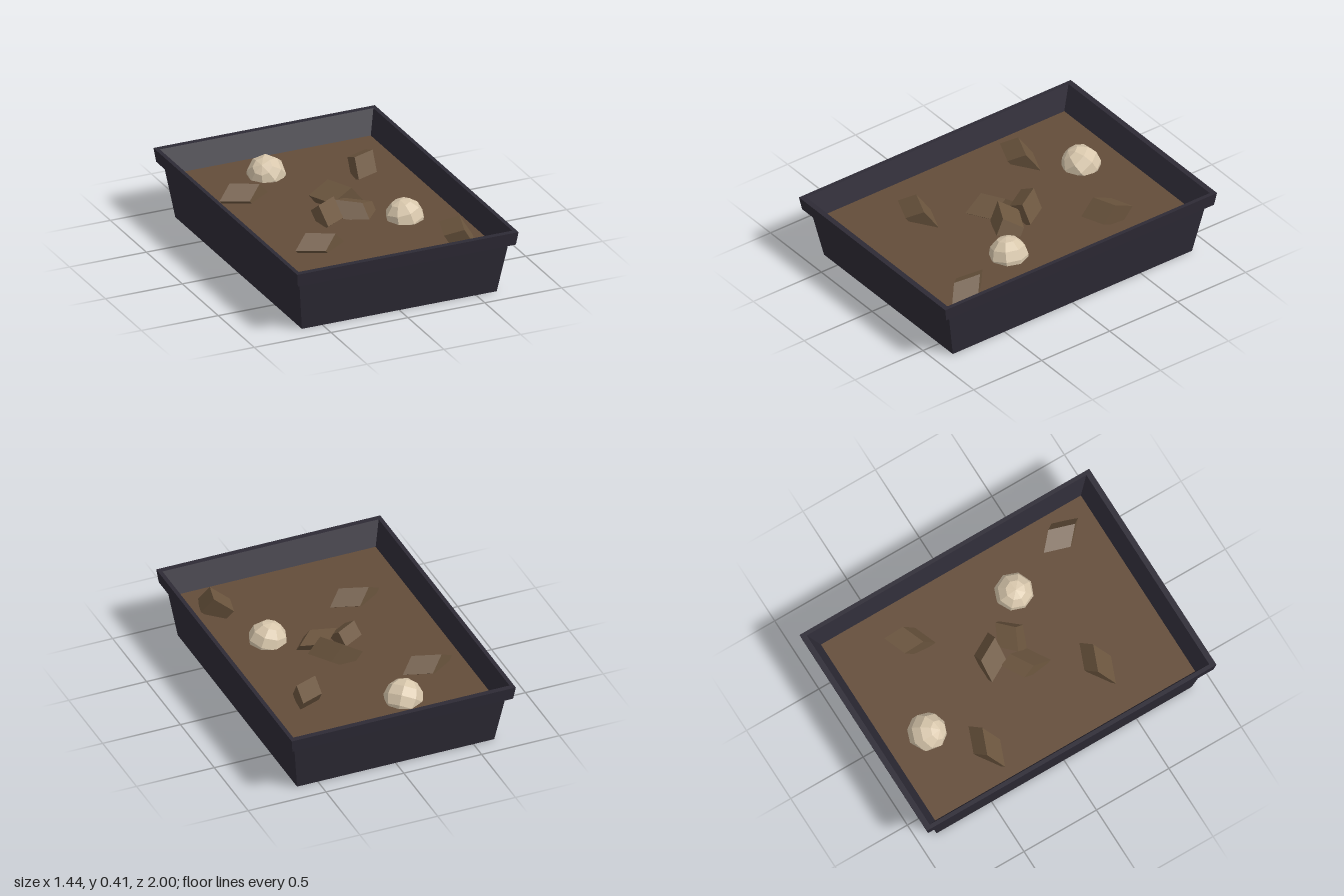
import * as THREE from 'three';

const SOIL_Y = 0.275;
const ASPECT = 0.72; // tray width divided by its length

const paint = (color) => new THREE.MeshStandardMaterial({ color, flatShading: true });

// Sheared block: one top corner and the three edges leaving it
function clod(corner, u, v, w, material) {
  let [a, b, c] = [u, v, w].map((e) => new THREE.Vector3(...e));
  const center = new THREE.Vector3(...corner)
    .addScaledVector(a, 0.5).addScaledVector(b, 0.5).addScaledVector(c, 0.5);
  if (a.clone().cross(b).dot(c) < 0) a.negate(); // keep faces outward
  const geometry = new THREE.BoxGeometry(1, 1, 1);
  geometry.applyMatrix4(new THREE.Matrix4().makeBasis(a, b, c).setPosition(center));
  const mesh = new THREE.Mesh(geometry, material);
  mesh.name = 'soilClod';
  return mesh;
}

// Horizontal rectangle facing up or down
function sheet(name, halfLength, y, up, material) {
  const geometry = new THREE.PlaneGeometry(2 * halfLength * ASPECT, 2 * halfLength);
  geometry.rotateX(up ? -Math.PI / 2 : Math.PI / 2);
  const mesh = new THREE.Mesh(geometry, material);
  mesh.name = name;
  mesh.position.y = y;
  return mesh;
}

export function createModel() {
  const model = new THREE.Group();
  model.name = 'soilTray';
  const dark = paint(0x2d2a35);
  const earth = paint(0x634c39);
  const clodMat = paint(0x6b553e);
  const pale = paint(0xd8c7ac);

  // Tapered walls and overhanging rim: four-sided lathe, narrowed in x
  const profile = [
    [0.88, 0], [0.945, 0.33], [0.985, 0.33], [1, 0.415], [0.965, 0.415], [0.895, 0.27],
  ].map(([r, y]) => new THREE.Vector2(r * Math.SQRT2, y));
  const wallGeometry = new THREE.LatheGeometry(profile, 4, Math.PI / 4);
  wallGeometry.scale(ASPECT, 1, 1);
  const walls = new THREE.Mesh(wallGeometry, dark);
  walls.name = 'trayWalls';
  model.add(walls);

  // Underside and soil surface
  model.add(sheet('trayBottom', 0.88, 0, false, pale));
  model.add(sheet('soil', 0.898, SOIL_Y, true, earth));

  // Clods of earth, partly buried
  const wedge = [[0.165, -0.007, 0.066], [-0.095, -0.07, 0.065], [0.077, -0.085, -0.048]];
  const clods = [
    [[-0.487, 0.37, -0.44], ...wedge],
    [[-0.381, 0.37, 0.39], ...wedge],
    [[0.307, 0.405, -0.397], [0.143, 0, -0.055], [0.01, -0.05, -0.122], [-0.01, -0.11, 0.08]],
    [[0.524, 0.395, 0.598], [-0.043, -0.02, 0.159], [-0.092, -0.055, -0.087], [0.058, -0.11, 0.058]],
    [[0.026, 0.41, -0.17], [0.085, -0.01, 0.148], [-0.125, -0.08, 0], [0.08, -0.1, 0]],
    [[-0.153, 0.38, 0.085], [0.135, 0, -0.08], [-0.016, -0.06, -0.075], [0.007, -0.09, 0.12]],
    [[-0.03, 0.38, 0.053], [0.145, -0.02, 0.07], [0.1, -0.04, -0.08], [0.02, -0.1, 0.07]],
  ];
  for (const [corner, u, v, w] of clods) model.add(clod(corner, u, v, w, clodMat));

  // Half-buried faceted stones
  const stones = [
    [-0.15, 0.28, -0.65, 0.4, 0.3, 0.5],
    [0.333, 0.275, 0.245, -0.3, 0.8, 0.35],
  ];
  for (const [x, y, z, rx, ry, rz] of stones) {
    const stone = new THREE.Mesh(new THREE.SphereGeometry(0.12, 8, 6), pale);
    stone.name = 'stone';
    stone.position.set(x, y, z);
    stone.rotation.set(rx, ry, rz);
    model.add(stone);
  }
  return model;
}
